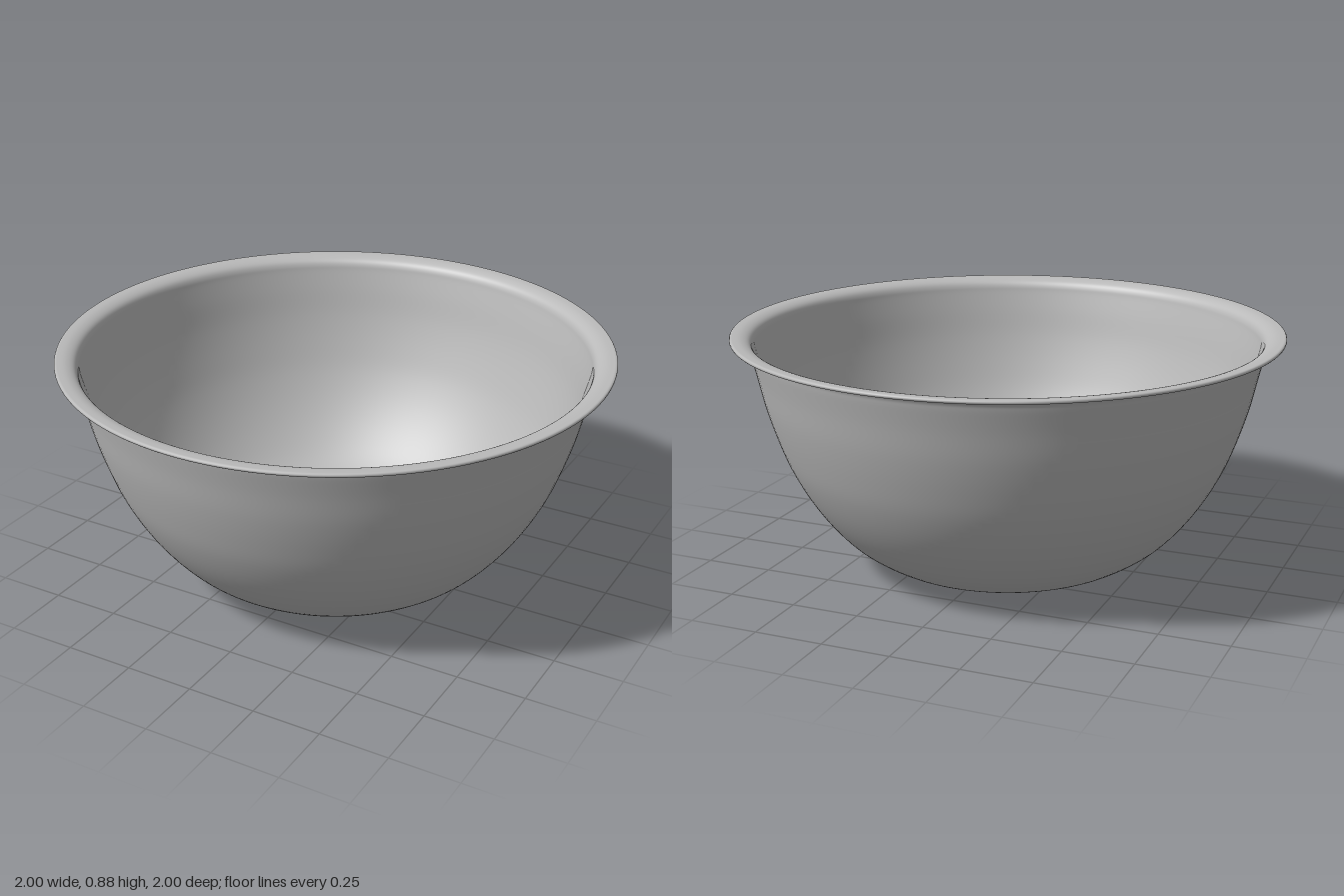
import * as THREE from 'three';

const THICKNESS = 0.014;

// Outer wall, from the edge of the flat base up to the edge of the flared lip
const WALL = [
  [0.32, 0], [0.38, 0.004], [0.44, 0.02], [0.51, 0.052], [0.6, 0.115], [0.68, 0.2],
  [0.75, 0.3], [0.808, 0.41], [0.85, 0.52], [0.885, 0.635], [0.91, 0.745],
  [0.927, 0.815], [0.933, 0.84], [0.943, 0.853], [0.965, 0.861], [0.993, 0.863],
];

export function createModel() {
  const group = new THREE.Group();
  group.name = 'mixingBowl';
  const steel = new THREE.MeshStandardMaterial({ color: 0xbababa });
  steel.name = 'brushed grey';

  const curve = new THREE.SplineCurve(WALL.map(([r, y]) => new THREE.Vector2(r, y)));
  const outer = [], inner = [];
  const steps = 75;
  for (let i = 0; i <= steps; i++) {
    const p = curve.getPoint(i / steps);
    const t = curve.getTangent(i / steps);
    p.y = Math.max(p.y, 0);
    outer.push(p);
    // The inner skin is the outer one pushed in along its normal
    inner.push(new THREE.Vector2(p.x - t.y * THICKNESS, p.y + t.x * THICKNESS));
  }

  // Rounded edge joining both skins at the lip
  const end = outer[steps];
  const edge = [];
  for (let i = 1; i < 6; i++) {
    const a = -Math.PI / 2 + (i / 6) * Math.PI;
    edge.push(new THREE.Vector2(
      end.x + Math.cos(a) * THICKNESS / 2,
      end.y + (1 + Math.sin(a)) * THICKNESS / 2));
  }

  const profile = [
    new THREE.Vector2(0, 0), new THREE.Vector2(0.2, 0),
    ...outer, ...edge, ...inner.reverse(),
    new THREE.Vector2(0.2, THICKNESS), new THREE.Vector2(0, THICKNESS),
  ];
  const bowl = new THREE.Mesh(new THREE.LatheGeometry(profile, 128), steel);
  bowl.name = 'bowl';
  group.add(bowl);
  return group;
}
